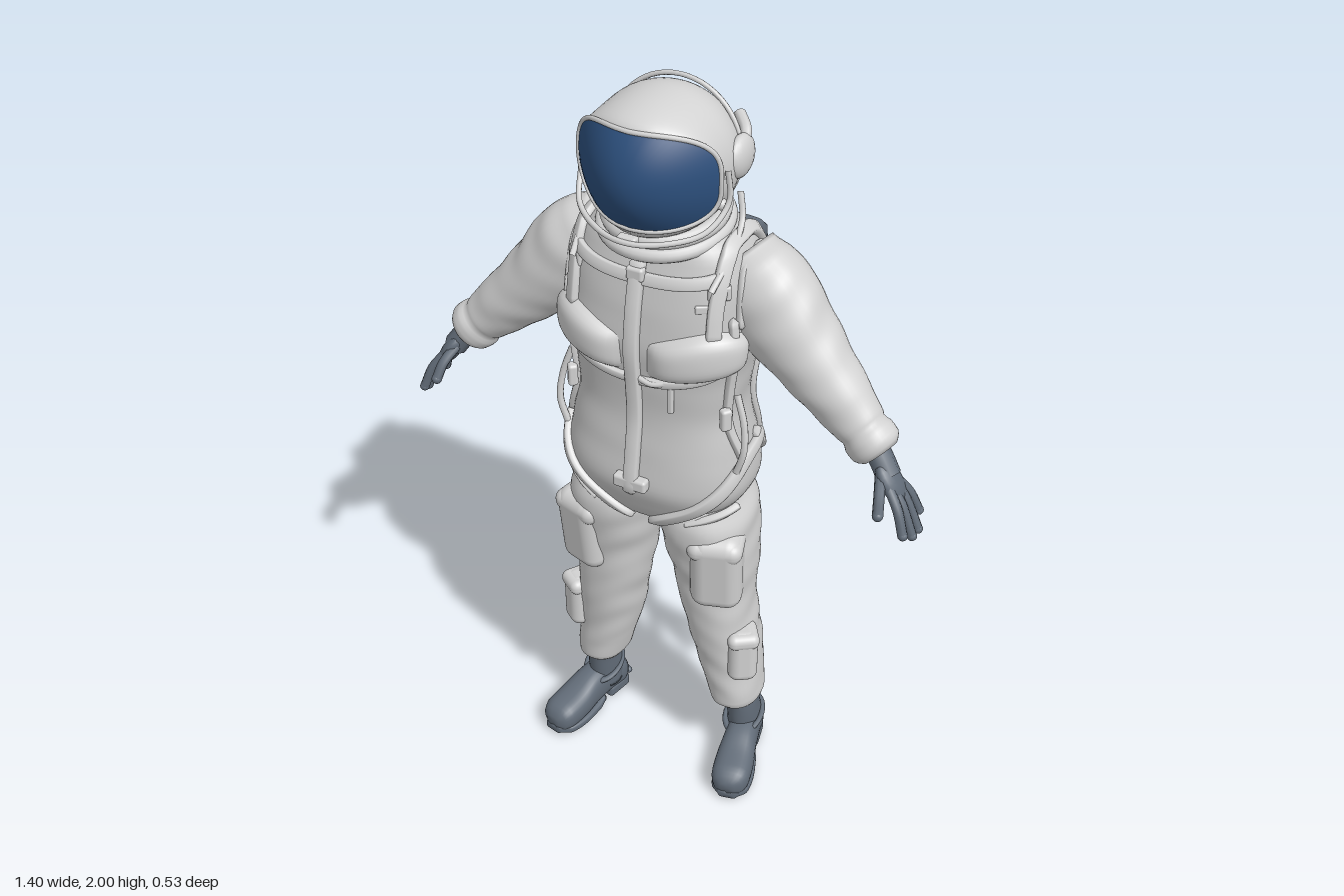
import * as THREE from 'three';
import { mergeVertices } from 'three/addons/utils/BufferGeometryUtils.js';
import { RoundedBoxGeometry } from 'three/addons/geometries/RoundedBoxGeometry.js';

const V = (x, y, z) => new THREE.Vector3(x, y, z);
const mat = (name, color) => Object.assign(new THREE.MeshStandardMaterial({ color }), { name });
const pw = (s, p) => Math.sign(s) * Math.abs(s) ** (2 / p);
const mix = THREE.MathUtils.lerp;

// Smooth surface from f(u, v) -> Vector3
function grid(f, nu, nv) {
  const pos = [], idx = [];
  for (let j = 0; j <= nv; j++) for (let i = 0; i <= nu; i++) pos.push(...f(i / nu, j / nv).toArray());
  for (let j = 0; j < nv; j++) for (let i = 0; i < nu; i++) {
    const a = j * (nu + 1) + i, c = a + nu + 1;
    idx.push(a, a + 1, c + 1, a, c + 1, c);
  }
  let g = new THREE.BufferGeometry();
  g.setAttribute('position', new THREE.Float32BufferAttribute(pos, 3));
  g.setIndex(idx);
  g = mergeVertices(g, 1e-5);
  g.computeVertexNormals();
  return g;
}

// Cross-section rows [key, centreX, centreZ, radiusX, radiusZ], interpolated at key y
function section(rows, y) {
  let i = 0;
  while (i < rows.length - 2 && y > rows[i + 1][0]) i++;
  const at = k => rows[Math.min(Math.max(k, 0), rows.length - 1)];
  const [a, b, c, d] = [at(i - 1), at(i), at(i + 1), at(i + 2)];
  const t = THREE.MathUtils.clamp((y - b[0]) / (c[0] - b[0]), 0, 1);
  return b.map((_, k) => 0.5 * (2 * b[k] + (c[k] - a[k]) * t + (2 * a[k] - 5 * b[k] + 4 * c[k] - d[k]) * t * t
    + (3 * b[k] - a[k] - 3 * c[k] + d[k]) * t * t * t));
}
function surf(rows, p, th, y, s = 1) {
  const [, cx, cz, rx, rz] = section(rows, y);
  return V(cx + s * rx * pw(Math.sin(th), p), y, cz + s * rz * pw(Math.cos(th), p));
}
// Capped loft with optional cloth folds
function loft(rows, p = 2, nu = 32, nv = 40, fold = 0) {
  const y0 = rows[0][0], y1 = rows[rows.length - 1][0];
  return grid((u, v) => {
    const y = mix(y0, y1, THREE.MathUtils.clamp((v * nv - 1) / (nv - 2), 0, 1));
    const th = (u % 1) * Math.PI * 2;
    const s = v === 0 || v === 1 ? 0 : 1 + fold * Math.sin(y * 55 + 2 * Math.sin(th * 2)) * Math.cos(th + y * 9);
    return surf(rows, p, th, y, s);
  }, nu, nv);
}
const tube = (pts, r, n = 24) => new THREE.TubeGeometry(new THREE.CatmullRomCurve3(pts.map(p => V(...p))), n, r, 8);
function ball(x, y, z, rx, ry = rx, rz = rx, rotZ = 0) {
  return new THREE.SphereGeometry(1, 20, 14).scale(rx, ry, rz).rotateZ(rotZ).translate(x, y, z);
}
function block(w, h, d, r, x, y, z, yaw = 0, pitch = 0) {
  return new RoundedBoxGeometry(w, h, d, 4, r).rotateX(pitch).rotateY(yaw).translate(x, y, z);
}
function mirrored(g) {
  const m = g.index ? g.clone() : mergeVertices(g);
  m.scale(-1, 1, 1);
  const a = m.index.array;
  for (let i = 0; i < a.length; i += 3) [a[i], a[i + 1]] = [a[i + 1], a[i]];
  return m;
}

const TORSO = [[0.84, 0, 0.06, 0.07, 0.06], [0.88, 0, 0.065, 0.16, 0.125], [0.94, 0, 0.06, 0.225, 0.16],
  [1.0, 0, 0.06, 0.247, 0.175], [1.1, 0, 0.06, 0.235, 0.162], [1.2, 0, 0.06, 0.215, 0.148], [1.3, 0, 0.057, 0.222, 0.155],
  [1.4, 0, 0.05, 0.237, 0.17], [1.5, 0, 0.04, 0.235, 0.168], [1.58, 0, 0.034, 0.225, 0.156], [1.64, 0, 0.035, 0.2, 0.135],
  [1.68, 0, 0.04, 0.15, 0.115], [1.71, 0, 0.045, 0.12, 0.1]];
const onTorso = (th, y, lift = 0) => {
  const e = 0.004, p = surf(TORSO, 2.5, th, y);
  const n = surf(TORSO, 2.5, th + e, y).sub(surf(TORSO, 2.5, th - e, y))
    .cross(surf(TORSO, 2.5, th, y + e).sub(surf(TORSO, 2.5, th, y - e))).normalize();
  return { p: p.addScaledVector(n, lift), n };
};
// Webbing that follows the torso through [degrees from front, height]
function strap(pts, w = 0.016, h = 0.009, lift = 0.004, n = 36) {
  const c = new THREE.CatmullRomCurve3(pts.map(([a, y]) => V(a * Math.PI / 180, y, 0)));
  const at = t => { const q = c.getPoint(t); return onTorso(q.x, q.y, lift); };
  return grid((u, v) => {
    const { p, n: N } = at(v), s = v === 0 || v === 1 ? 0 : 1;
    const T = at(Math.min(v + 0.01, 1)).p.sub(at(Math.max(v - 0.01, 0)).p).normalize();
    const B = T.clone().cross(N), a = (u % 1) * Math.PI * 2;
    return p.addScaledVector(N, s * h * pw(Math.cos(a), 4)).addScaledVector(B, s * w * pw(Math.sin(a), 4));
  }, 12, n);
}

export function createModel() {
  const root = new THREE.Group();
  root.name = 'spacesuit';
  const suit = mat('suit grey', 0xd2d2d2), cloth = mat('torso grey', 0xc8c8c8);
  const dark = mat('slate', 0x626c78), glass = mat('visor blue', 0x2c4f7c);
  const add = (name, g, m = suit) => {
    const mesh = new THREE.Mesh(g, m);
    mesh.name = name;
    root.add(mesh);
  };
  const pair = (name, g, m = suit) => { add(name + 'Left', g, m); add(name + 'Right', mirrored(g), m); };

  // Helmet: visor, shell from visor rim to back, rim and seam
  const rim = (a, r = 1) => {
    const x = r * pw(Math.cos(a), 2.8), y = r * pw(Math.sin(a), 2.8);
    return V(0.178 * x, 1.838 + 0.118 * y, 0.265 - 0.13 * x * x - 0.045 * y * y);
  };
  add('visor', grid((u, v) => rim(-(u % 1) * Math.PI * 2, v), 56, 16), glass);
  add('helmetShell', grid((u, v) => {
    const a = -(u % 1) * Math.PI * 2, e = V(0.177 * Math.cos(a), 1.83 + 0.17 * Math.sin(a), 0.06);
    if (v <= 0.4) {
      const t = v / 0.4 * Math.PI / 2, r = rim(a);
      return V(mix(r.x, e.x, Math.sin(t)), mix(r.y, e.y, Math.sin(t)), mix(r.z, e.z, 1 - Math.cos(t)));
    }
    const t = (v - 0.4) / 0.6 * Math.PI / 2, c = v === 1 ? 0 : Math.cos(t);
    return V(e.x * c, 1.83 + (e.y - 1.83) * c, 0.06 - 0.172 * Math.sin(t));
  }, 56, 30));
  const rimPts = Array.from({ length: 48 }, (_, i) => rim(i / 48 * Math.PI * 2, 1.01));
  add('visorRim', new THREE.TubeGeometry(new THREE.CatmullRomCurve3(rimPts, true), 96, 0.006, 8, true));
  add('helmetSeam', new THREE.TorusGeometry(0.165, 0.006, 8, 56).rotateX(-0.12).translate(0, 1.83, 0));
  pair('earPod', ball(0.168, 1.845, 0.012, 0.026, 0.052, 0.055));
  pair('earBridge', tube([[0.165, 1.85, 0], [0.165, 1.89, -0.02], [0.13, 1.91, -0.06]], 0.014));
  pair('helmetBolt', ball(0.165, 1.765, 0.1, 0.014));
  pair('rearBolt', ball(0.08, 1.73, -0.065, 0.018));
  add('chinGuard', tube([[-0.185, 1.86, 0.11], [-0.188, 1.78, 0.11], [-0.16, 1.725, 0.17], [-0.08, 1.705, 0.23], [0, 1.7, 0.25],
    [0.08, 1.705, 0.23], [0.16, 1.725, 0.17], [0.188, 1.78, 0.11], [0.185, 1.86, 0.11]], 0.007, 60));
  add('microphone', block(0.05, 0.022, 0.025, 0.008, 0, 1.7, 0.235));
  [[1.695, 0.135, 0.02], [1.668, 0.148, 0.018]].forEach(([y, r, t], i) =>
    add('neckRing' + (i + 1), new THREE.TorusGeometry(r, t, 12, 48).rotateX(Math.PI / 2 + 0.15).translate(0, y, 0.05)));
  pair('airHose', tube([[0.015, 1.81, -0.1], [0.018, 1.77, -0.135], [0.02, 1.69, -0.155], [0.02, 1.63, -0.14], [0.015, 1.6, -0.11]], 0.008));
  pair('commCable', tube([[0.165, 1.75, 0.0], [0.18, 1.69, 0.02], [0.19, 1.64, 0.1], [0.18, 1.58, 0.18]], 0.008));

  // Torso and chest cushions
  add('torso', loft(TORSO, 2.5, 56, 60, 0.004), cloth);
  const cushion = dir => grid((u, v) => {
    const k = dir > 0 ? u : 1 - u, a = 2 * u - 1, b = 2 * v - 1;
    const y = mix(1.325 + 0.035 * k * k, 1.425 + 0.045 * Math.sin(k * 2.8), v);
    return onTorso(dir * mix(0.08, 1.4, k), y, 0.036 * (1 - a ** 6) * (1 - b ** 4) - 0.004).p;
  }, 24, 14);
  add('chestPouchLeft', cushion(1));
  add('chestPouchRight', cushion(-1));

  // Harness
  add('frontStrap', strap([[0, 1.63], [0, 1.45], [0, 1.2], [0, 0.98]], 0.018, 0.014, 0.01));
  add('chestStrap', strap([[-60, 1.6], [-30, 1.585], [0, 1.58], [30, 1.585], [60, 1.6]], 0.016, 0.01));
  add('waistBuckle', block(0.09, 0.035, 0.03, 0.008, 0, 1.02, 0.242));
  add('collarBuckle', block(0.045, 0.035, 0.025, 0.008, 0, 1.595, 0.2));
  pair('shoulderStrap', strap([[46, 1.44], [48, 1.54], [58, 1.62], [90, 1.655], [122, 1.62], [135, 1.52], [138, 1.35], [145, 1.15], [160, 0.97], [172, 0.88]], 0.019, 0.011, 0.006, 70));
  pair('outerStrap', strap([[70, 1.46], [72, 1.56], [90, 1.61], [115, 1.57], [120, 1.4], [118, 1.22], [128, 1.06], [150, 0.93]], 0.014, 0.009, 0.005, 60));
  pair('sideStrap', strap([[62, 1.5], [66, 1.35], [68, 1.2], [78, 1.08]], 0.011, 0.011));
  pair('groinStrap', strap([[110, 1.1], [78, 1.07], [50, 1.0], [25, 0.925], [7, 0.87]], 0.017, 0.011, 0.006));
  pair('hipStrap', strap([[35, 0.9], [52, 0.925], [75, 0.955]], 0.012, 0.01, 0.012));
  pair('seatStrap', strap([[95, 1.12], [120, 1.04], [150, 0.94], [174, 0.87]], 0.016, 0.01));
  add('bellyBelt', strap([[-70, 1.385], [-40, 1.34], [0, 1.315], [40, 1.34], [70, 1.385]], 0.011, 0.01));
  pair('strapBuckle', block(0.055, 0.04, 0.025, 0.008, 0.185, 1.565, 0.145, 0.6));
  pair('sideBuckle', block(0.028, 0.06, 0.025, 0.008, 0.21, 1.22, 0.15, 0.9));
  pair('looseStrap', tube([[0.225, 1.28, 0.12], [0.25, 1.2, 0.13], [0.255, 1.13, 0.14], [0.235, 1.06, 0.14]], 0.009));
  add('pullCord', tube([[0.01, 1.325, 0.222], [0.05, 1.318, 0.226], [0.09, 1.325, 0.213]], 0.007));
  add('pullTab', block(0.016, 0.085, 0.014, 0.005, 0.092, 1.28, 0.208));
  add('chestTag', block(0.06, 0.022, 0.016, 0.005, 0.165, 1.525, 0.163, 0.55));

  // Backpack
  add('backpack', loft([[1.095, 0, -0.14, 0.1, 0.04], [1.13, 0, -0.152, 0.13, 0.062], [1.25, 0, -0.172, 0.145, 0.086], [1.36, 0, -0.178, 0.15, 0.089],
    [1.45, 0, -0.172, 0.152, 0.085], [1.53, 0, -0.158, 0.158, 0.07], [1.58, 0, -0.14, 0.163, 0.045], [1.605, 0, -0.128, 0.16, 0.018]], 3.6, 48, 40, 0.018), dark);

  // Sleeves with gathered cuffs
  const from = V(0.2, 1.54, 0), dir = V(0.37, -0.345, 0.065).normalize();
  const turn = new THREE.Quaternion().setFromUnitVectors(V(0, 1, 0), dir);
  pair('sleeve', loft([[-0.05, 0, 0, 0.1, 0.09], [0, 0, 0, 0.125, 0.108], [0.08, 0, 0, 0.133, 0.112], [0.18, 0, 0, 0.11, 0.102],
    [0.28, 0, 0, 0.09, 0.088], [0.37, 0, 0, 0.078, 0.074], [0.435, 0, 0, 0.066, 0.063], [0.45, 0, 0, 0.06, 0.058],
    [0.465, 0, 0, 0.068, 0.064], [0.5, 0, 0, 0.066, 0.062], [0.515, 0, 0, 0.05, 0.047]], 2, 36, 60, 0.02)
    .applyQuaternion(turn).translate(from.x, from.y, from.z));

  // Gloves
  pair('gloveWrist', tube([[0.55, 1.215, 0.063], [0.58, 1.18, 0.073], [0.605, 1.145, 0.083]], 0.031), dark);
  pair('glovePalm', ball(0.612, 1.135, 0.086, 0.023, 0.058, 0.04, 0.6), dark);
  [[0.066, 0.038, 0.672, 1.035], [0.078, 0.074, 0.686, 1.008], [0.095, 0.108, 0.684, 1.01], [0.11, 0.142, 0.672, 1.03]].forEach(([z0, z1, x, y], i) => {
    pair('finger' + (i + 1), tube([[0.615, 1.135, z0], [0.65, 1.088, mix(z0, z1, 0.6)], [x, y, z1]], 0.0125, 12), dark);
    pair('fingerTip' + (i + 1), ball(x, y, z1, 0.0125), dark);
  });
  pair('thumb', tube([[0.59, 1.155, 0.1], [0.605, 1.125, 0.14], [0.614, 1.085, 0.165]], 0.0135, 12), dark);
  pair('thumbTip', ball(0.614, 1.085, 0.165, 0.0135), dark);

  // Trouser legs and pockets
  pair('leg', loft([[0.205, 0.21, 0.03, 0.055, 0.065], [0.225, 0.208, 0.032, 0.067, 0.088], [0.3, 0.195, 0.03, 0.075, 0.098],
    [0.4, 0.178, 0.032, 0.085, 0.107], [0.5, 0.165, 0.045, 0.09, 0.11], [0.6, 0.15, 0.052, 0.098, 0.112], [0.7, 0.145, 0.052, 0.11, 0.125],
    [0.8, 0.133, 0.058, 0.12, 0.14], [0.88, 0.128, 0.06, 0.12, 0.145], [0.96, 0.12, 0.06, 0.1, 0.12]], 2.2, 40, 64, 0.018));
  pair('thighPocket', block(0.135, 0.24, 0.12, 0.04, 0.188, 0.745, 0.135, 0.3, 0.1));
  pair('thighFlap', block(0.143, 0.06, 0.122, 0.028, 0.188, 0.825, 0.142, 0.3, 0.1));
  pair('shinPocket', block(0.08, 0.165, 0.085, 0.028, 0.245, 0.43, 0.093, 0.6));
  pair('shinFlap', block(0.085, 0.045, 0.09, 0.02, 0.245, 0.488, 0.094, 0.6));

  // Boots, modelled along their length and toed out
  const place = g => g.rotateY(0.22).translate(0.212, 0, -0.055);
  const foot = (rows, p) => place(loft(rows, p, 28, 28).rotateX(Math.PI / 2));
  pair('bootFoot', foot([[0, 0, -0.055, 0.03, 0.035], [0.02, 0, -0.062, 0.042, 0.05], [0.08, 0, -0.073, 0.044, 0.055], [0.14, 0, -0.07, 0.047, 0.054],
    [0.2, 0, -0.057, 0.053, 0.047], [0.26, 0, -0.05, 0.052, 0.042], [0.285, 0, -0.046, 0.04, 0.033], [0.295, 0, -0.045, 0.022, 0.018]], 2.5), dark);
  pair('bootSole', foot([[0.11, 0, -0.02, 0.04, 0.012], [0.14, 0, -0.014, 0.048, 0.014], [0.21, 0, -0.014, 0.056, 0.014],
    [0.265, 0, -0.016, 0.05, 0.014], [0.295, 0, -0.02, 0.025, 0.012]], 4), dark);
  pair('bootHeel', place(block(0.08, 0.04, 0.085, 0.012, 0, 0.02, 0.045)), dark);
  pair('bootShaft', loft([[0.06, 0.222, 0.01, 0.044, 0.056], [0.13, 0.222, 0.014, 0.045, 0.058], [0.18, 0.22, 0.02, 0.043, 0.056], [0.24, 0.212, 0.025, 0.046, 0.058]], 2, 28, 16, 0.015), dark);
  pair('ankleStrap', new THREE.TorusGeometry(0.052, 0.008, 8, 32).scale(0.95, 1.25, 1).rotateX(Math.PI / 2 + 0.35).translate(0.224, 0.122, 0.02), dark);
  pair('heelStrap', ball(0.205, 0.04, -0.055, 0.03, 0.014, 0.014), dark);
  return root;
}
